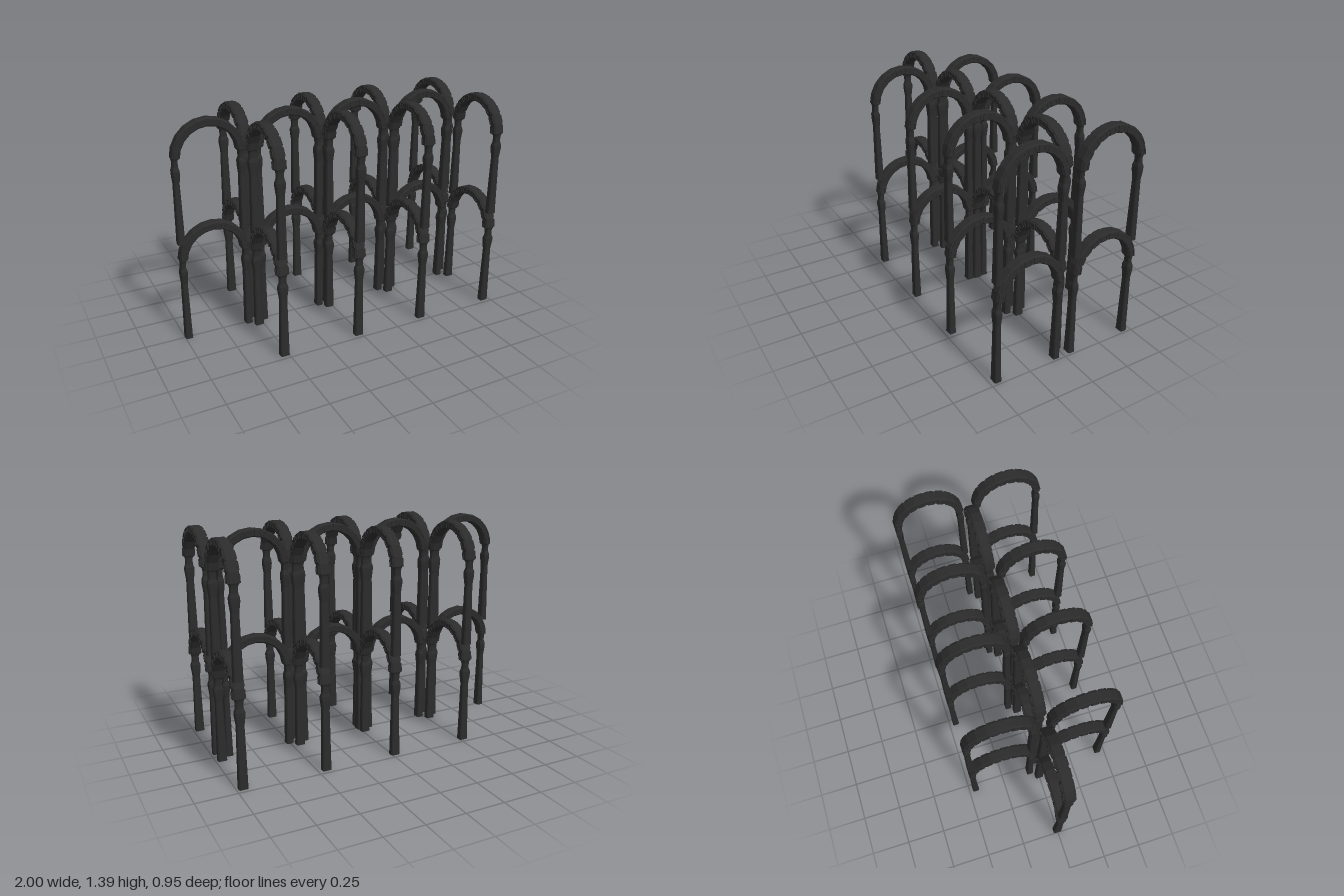
import * as THREE from 'three';

const stone = new THREE.MeshStandardMaterial({ color: 0x2b2b2b, flatShading: true });
stone.name = 'dark stone';

// Rectangle with cut corners, counter-clockwise
function cutRect(hw, hd, c) {
  return [[hw, -hd + c], [hw, hd - c], [hw - c, hd], [-hw + c, hd],
    [-hw, hd - c], [-hw, -hd + c], [-hw + c, -hd], [hw - c, -hd]];
}

// Skin a list of equal-length rings and close both ends
function loft(rings) {
  const n = rings[0].length, pos = rings.flat(2), idx = [];
  for (let r = 0; r < rings.length - 1; r++) {
    for (let i = 0; i < n; i++) {
      const a = r * n + i, b = r * n + (i + 1) % n;
      idx.push(a, a + n, b, b, a + n, b + n);
    }
  }
  const top = (rings.length - 1) * n;
  for (let i = 1; i < n - 1; i++) idx.push(0, i, i + 1, top, top + i + 1, top + i);
  const g = new THREE.BufferGeometry();
  g.setAttribute('position', new THREE.Float32BufferAttribute(pos, 3));
  g.setIndex(idx);
  const flat = g.toNonIndexed();
  flat.computeVertexNormals();
  return flat;
}

const SPRING = 0.53, R_OUT = 0.222, R_IN = 0.172, SEGMENTS = 10, HALF = 0.2;
const R_MID = (R_OUT + R_IN) / 2, R_HALF = (R_OUT - R_IN) / 2;

// Tapered column with flared head and thin neck: height, half width, half depth
const columnGeo = loft([
  [0, 0.022, 0.028], [0.03, 0.021, 0.027], [0.38, 0.017, 0.022], [0.44, 0.021, 0.029],
  [0.462, 0.021, 0.029], [0.485, 0.015, 0.022], [0.515, 0.015, 0.022], [0.545, 0.019, 0.027],
].map(([y, w, d]) => cutRect(w, d, 0.006).map(([x, z]) => [x, y, z])));

// Round arch with narrowed feet
const angles = [0, 0.05];
for (let i = 1; i < SEGMENTS; i++) angles.push(i * Math.PI / SEGMENTS);
angles.push(Math.PI - 0.05, Math.PI);
const archGeo = loft(angles.map((a, i) => {
  const foot = i === 0 || i === angles.length - 1 ? 0.8 : 1;
  return cutRect(R_HALF * foot, 0.032 * foot, 0.007).map(([r, z]) =>
    [Math.cos(a) * (R_MID + r), SPRING + Math.sin(a) * (R_MID + r), z]);
}));

// Raised frame that follows one arch segment
function wedge(target, inset, angle) {
  const r0 = R_IN + 0.007 + inset, r1 = R_OUT - 0.007 - inset;
  const pts = [[r0, -angle], [r1, -angle], [r1, angle], [r0, angle]];
  return target.setFromPoints(pts.map(([r, a]) => new THREE.Vector2(r * Math.cos(a), r * Math.sin(a))));
}
const frameShape = wedge(new THREE.Shape(), 0, 0.115);
frameShape.holes.push(wedge(new THREE.Path(), 0.007, 0.077));
const frameGeo = new THREE.ExtrudeGeometry(frameShape, { depth: 0.074, bevelEnabled: false });
frameGeo.translate(0, 0, -0.037);

function add(parent, geo, name) {
  const m = new THREE.Mesh(geo, stone);
  m.name = name;
  parent.add(m);
  return m;
}

// One storey: two columns, an arch and its frames on both faces
function makeStorey() {
  const g = new THREE.Group();
  g.name = 'storey';
  for (const s of [-1, 1]) add(g, columnGeo, 'column').position.x = s * HALF;
  add(g, archGeo, 'arch');
  for (let i = 0; i < SEGMENTS; i++) {
    const f = add(g, frameGeo, 'archFrame');
    f.position.y = SPRING;
    f.rotation.z = (i + 0.5) * Math.PI / SEGMENTS;
  }
  return g;
}

// Two storeys stacked
function makeBay(name, x, z, turn) {
  const g = new THREE.Group();
  g.name = name;
  for (const y of [0, 0.64]) {
    const s = makeStorey();
    s.position.y = y;
    g.add(s);
  }
  g.position.set(x, 0, z);
  g.rotation.y = turn;
  return g;
}

export function createModel() {
  const model = new THREE.Group();
  model.name = 'arcade';
  // Bays along the main line
  for (const x of [-0.778, -0.27, 0.195, 0.7]) model.add(makeBay('mainBay', x, 0, 0));
  // Cross bays in front of and behind the line
  for (const x of [-0.525, -0.018, 0.446, 0.96]) {
    for (const s of [-1, 1]) model.add(makeBay('crossBay', x, s * 0.254, Math.PI / 2));
  }
  return model;
}
